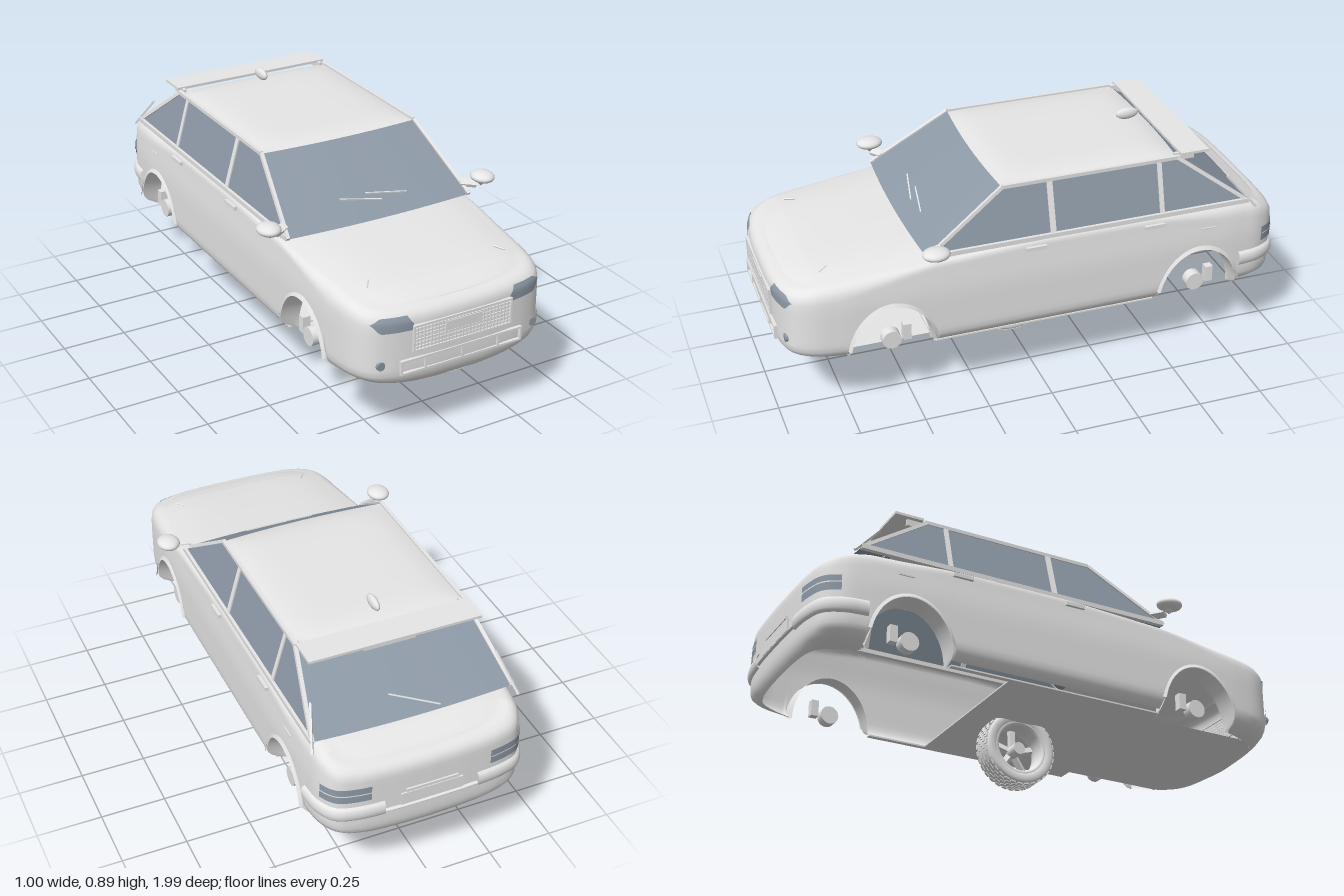
import * as THREE from 'three';
import { mergeGeometries, mergeVertices } from 'three/addons/utils/BufferGeometryUtils.js';

const V = (x, y, z) => new THREE.Vector3(x, y, z);
const { lerp, smoothstep, clamp } = THREE.MathUtils;

export function createModel() {
  const car = new THREE.Group();
  car.name = 'car';
  const paint = new THREE.MeshStandardMaterial({ color: 0xe6e6e6, side: THREE.DoubleSide });
  paint.name = 'light grey';
  const glass = new THREE.MeshStandardMaterial({ color: 0x8e9aa7, side: THREE.DoubleSide });
  glass.name = 'blue grey glass';

  const add = (name, geo, mat = paint, parent = car) => {
    const m = new THREE.Mesh(geo, mat);
    m.name = name;
    parent.add(m);
    return m;
  };
  const box = (name, w, h, d, x, y, z, mat, parent) => {
    const m = add(name, new THREE.BoxGeometry(w, h, d), mat, parent);
    m.position.set(x, y, z);
    return m;
  };
  const ball = (name, rx, ry, rz, x, y, z) => {
    const m = add(name, new THREE.SphereGeometry(1, 24, 16));
    m.scale.set(rx, ry, rz);
    m.position.set(x, y, z);
  };
  const bar = (name, a, b, w, d = w, mat = paint, parent = car) => {
    const m = add(name, new THREE.BoxGeometry(w, a.distanceTo(b), d), mat, parent);
    m.position.copy(a).lerp(b, 0.5);
    m.quaternion.setFromUnitVectors(V(0, 1, 0), b.clone().sub(a).normalize());
  };
  // Smooth surface from a rule f(u, v) -> Vector3
  const grid = (f, nu, nv) => {
    const pos = [], idx = [];
    for (let i = 0; i <= nu; i++) for (let j = 0; j <= nv; j++) pos.push(...f(i / nu, j / nv).toArray());
    for (let i = 0; i < nu; i++) for (let j = 0; j < nv; j++) {
      const a = i * (nv + 1) + j, b = a + nv + 1;
      idx.push(a, b, a + 1, b, b + 1, a + 1);
    }
    const g = new THREE.BufferGeometry();
    g.setAttribute('position', new THREE.Float32BufferAttribute(pos, 3));
    g.setIndex(idx);
    g.computeVertexNormals();
    return g;
  };

  // Half outline of the body in plan, nose to tail
  const plan = new THREE.CatmullRomCurve3([[0, 0.988], [0.15, 0.985], [0.28, 0.968], [0.345, 0.938], [0.383, 0.88],
    [0.402, 0.78], [0.41, 0.6], [0.412, 0.3], [0.412, 0], [0.412, -0.3], [0.41, -0.6], [0.402, -0.8], [0.388, -0.89],
    [0.35, -0.95], [0.28, -0.974], [0.15, -0.985], [0, -0.988]].map(([x, z]) => V(x, 0, z)));
  plan.arcLengthDivisions = 600;
  const L = plan.getLength();
  const arches = [0.585, -0.63];
  const rimPts = [[-1, 0.56], [-0.97, 0.575], [-0.9, 0.605], [-0.8, 0.62], [0, 0.625], [0.42, 0.605], [0.88, 0.565], [0.97, 0.55], [1, 0.545]];
  const rimY = (z) => {
    const i = clamp(rimPts.findIndex((p) => p[0] >= z), 1, rimPts.length - 1);
    const [a, b] = [rimPts[i - 1], rimPts[i]];
    return lerp(a[1], b[1], (z - a[0]) / (b[0] - a[0]));
  };
  const bottomY = (z) => {
    for (const c of arches) {
      const d = (z - c) / 0.165;
      if (Math.abs(d) < 1) return 0.25 + 0.21 * Math.sqrt(1 - d * d);
    }
    return z < 0.5 && z > -0.5 ? 0.265 : 0.25;
  };
  // Body surface point for a plan point at height y
  const skin = (p, y) => {
    const end = smoothstep(Math.abs(p.z), 0.7, 0.97);
    const r = lerp(0.016, 0.048, smoothstep(Math.abs(p.z), 0.4, 0.75));
    const h = clamp((rimY(p.z) - y) / r, 0, 1);
    const top = r * (1 - Math.sqrt(1 - (1 - h) ** 2));
    const low = Math.max(0, (0.33 - y) / 0.08) ** 3 * 0.1 * lerp(0.6, 1, end);
    const lean = 0.012 * smoothstep(y, 0.46, 0.63);
    return V(p.x - (top + low + lean) * p.x / 0.41, y, p.z - Math.sign(p.z) * end * (top + low * 0.25));
  };

  // Body shell: nose and tail are full hoops (side, deck, side), the middle has sides only
  const side = (p, t, s) => {
    const q = skin(p, lerp(bottomY(p.z), rimY(p.z), 0.5 - 0.5 * Math.cos(Math.PI * t)));
    return q.setX(q.x * s);
  };
  const hoop = (crown) => (p, v) => {
    const j = Math.round(v * 56);
    if (j <= 18) return side(p, j / 18, 1);
    if (j >= 38) return side(p, (56 - j) / 18, -1);
    const q = skin(p, rimY(p.z)), k = 1 - (j - 18) / 10;
    return V(q.x * k, q.y + crown * (1 - k ** 4) * Math.min(1, q.x / 0.36) ** 2, q.z);
  };
  const stretch = (f, u0, u1, nu, nv) => {
    const g = grid((u, v) => f(plan.getPointAt(lerp(u0, u1, u)), v), nu, nv);
    g.deleteAttribute('normal');
    return g;
  };
  const uHood = 0.91 / L, uDeck = 1 - 0.5 / L;
  const shell = mergeVertices(mergeGeometries([
    stretch(hoop(0.02), 0, uHood, 90, 56),
    stretch((p, v) => side(p, v, 1), uHood, uDeck, 130, 18),
    stretch((p, v) => side(p, 1 - v, -1), uHood, uDeck, 130, 18),
    stretch(hoop(0.008), uDeck, 1, 50, 56),
  ]), 1e-5);
  shell.computeVertexNormals();
  add('bodyShell', shell);

  // Underside: curved nose pan and flat floor
  add('nosePan', grid((u, v) => {
    const q = skin(plan.getPointAt(u * 0.95 / L), 0.25), k = 2 * v - 1;
    return V(Math.min(q.x, 0.31) * k, 0.25 - 0.005 * (1 - k * k), q.z);
  }, 50, 12));
  box('floor', 0.7, 0.006, 0.64, 0, 0.252, 0.1);

  // Cabin
  const sideX = (y) => 0.385 - 0.055 * (y - 0.63) / 0.195;
  const panel = (name, pts, mat) => {
    const g = new THREE.BufferGeometry().setFromPoints(pts);
    g.setIndex(pts.slice(2).flatMap((_, i) => [0, i + 1, i + 2]));
    g.computeVertexNormals();
    add(name, g, mat);
  };
  add('roof', grid((u, v) => {
    const k = 2 * v - 1, bow = 0.015 * (1 - k * k);
    return V(0.332 * k, 0.828 + 0.017 * (1 - k ** 6) * (1 - (2 * u - 1) ** 8), lerp(0.14 + bow, -0.55 - bow, u));
  }, 24, 20));
  const screen = (name, z0, z1, bow) => add(name, grid((u, v) => {
    const k = 2 * v - 1, y = lerp(0.625, 0.828, u);
    return V(sideX(y) * k, y, lerp(z0, z1, u) + bow * (1 - k * k));
  }, 4, 16), glass);
  screen('windshield', 0.445, 0.14, 0.015);
  screen('rearWindow', -0.83, -0.55, -0.015);
  for (const s of [1, -1]) {
    const at = (z, y, o = 0) => V(s * (sideX(y) + o), y, z);
    panel('frontSideWindow', [[0.42, 0.635], [-0.04, 0.635], [-0.04, 0.825], [0.15, 0.825]].map((p) => at(...p)), glass);
    panel('rearSideWindow', [[-0.04, 0.635], [-0.475, 0.635], [-0.475, 0.825], [-0.04, 0.825]].map((p) => at(...p)), glass);
    panel('quarterWindow', [[-0.475, 0.635], [-0.82, 0.635], [-0.55, 0.825], [-0.475, 0.825]].map((p) => at(...p)), glass);
    bar('windshieldPillar', at(0.445, 0.625), at(0.14, 0.83), 0.013);
    bar('middlePillar', at(-0.04, 0.625), at(-0.04, 0.83), 0.01, 0.022);
    bar('rearDoorPillar', at(-0.475, 0.625), at(-0.475, 0.83), 0.01, 0.018);
    bar('rearPillar', at(-0.83, 0.625), at(-0.55, 0.83), 0.014);
    bar('roofRail', at(0.14, 0.83), at(-0.56, 0.83), 0.014);
    bar('windowSill', at(0.44, 0.628), at(-0.83, 0.628), 0.018);
    bar('quarterDivider', at(-0.75, 0.73), at(-0.86, 0.6, 0.005), 0.008);

    // Door handles, sill, mirrors
    for (const z of [0.035, -0.435]) box('doorHandle', 0.012, 0.014, 0.08, s * 0.408, 0.597, z);
    box('sill', 0.02, 0.006, 0.88, s * 0.36, 0.252, -0.02);
    box('fillerMark', 0.004, 0.006, 0.06, s * 0.407, 0.545, -0.66);
    ball('mirror', 0.044, 0.022, 0.052, s * 0.455, 0.677, 0.43);
    bar('mirrorArm', V(s * 0.375, 0.658, 0.4), V(s * 0.43, 0.65, 0.425), 0.014, 0.03);
    const foot = add('mirrorFoot', new THREE.ConeGeometry(0.03, 0.03, 12));
    foot.rotation.x = Math.PI;
    foot.position.set(s * 0.45, 0.654, 0.43);

    // Wheel arch liners, lips and bare hubs
    for (const c of arches) {
      const arc = (a, k) => V(0, 0.25 + 0.21 * k * Math.sin(a), c + 0.165 * k * Math.cos(a));
      add('archLiner', grid((u, v) => {
        const q = arc(Math.PI * u, 1 - 0.05 * v);
        return q.setX(s * lerp(skin(V(0.412, 0, c), q.y).x, 0.335, v));
      }, 32, 3));
      add('archLip', grid((u, v) => arc(lerp(0.24, Math.PI - 0.24, u), 1 + 0.07 * v).setX(s * (0.41 + 0.009 * (1 - v))), 32, 3));
      const hub = add('hub', new THREE.CylinderGeometry(0.036, 0.036, 0.04, 24));
      hub.rotation.z = Math.PI / 2;
      hub.position.set(s * 0.365, 0.3, c);
      box('brakeCaliper', 0.03, 0.065, 0.03, s * 0.365, 0.32, c - 0.06);
    }
  }

  // Spoiler, roof pod and wipers
  box('spoiler', 0.665, 0.01, 0.115, 0, 0.84, -0.622);
  for (const s of [1, -1]) box('spoilerMount', 0.012, 0.03, 0.08, s * 0.31, 0.825, -0.585);
  box('highBrakeLight', 0.2, 0.014, 0.012, 0, 0.79, -0.622);
  ball('roofPod', 0.015, 0.023, 0.046, 0, 0.87, -0.485);
  const onScreen = (x, y) => V(x, y, 0.46 - 0.305 * (y - 0.625) / 0.203 + 0.004);
  bar('wiper', onScreen(-0.13, 0.69), onScreen(0.03, 0.668), 0.005);
  bar('wiper', onScreen(-0.02, 0.69), onScreen(0.14, 0.672), 0.005);
  bar('rearWiper', V(-0.1, 0.636, -0.834), V(0.07, 0.685, -0.766), 0.005);

  // Plates that follow the nose or tail; a and b are distances along the skin from the middle
  const plate = (name, end, a, b, lo, hi, mat, off = 0.003, bulge = 0) => add(name, grid((u, v) => {
    const d = lerp(a, b, u), f = end > 0 ? Math.abs(d) / L : 1 - Math.abs(d) / L;
    const p = plan.getPointAt(f), t = plan.getTangentAt(f);
    const y = lerp(lo(u), hi(u), v), q = skin(p, y);
    const o = off + bulge * Math.sqrt(Math.max(0, Math.sin(Math.PI * v)));
    return V((q.x - t.z * o) * (d < 0 ? -1 : 1), y, q.z + t.x * o);
  }, 24, bulge ? 10 : 5), mat);
  const flat = (y) => () => y;
  for (const s of [1, -1]) {
    plate('headlight', 1, s * 0.2, s * 0.36, (u) => 0.475 + 0.035 * smoothstep(u, 0.7, 1),
      (u) => u < 0.15 ? 0.5 + u * 0.18 : 0.53 - 0.02 * smoothstep(u, 0.75, 1), glass);
    plate('fogLampPanel', 1, s * 0.28, s * 0.365, flat(0.33), flat(0.38), paint, 0.006);
    const fog = add('fogLamp', new THREE.CylinderGeometry(0.016, 0.016, 0.012, 20), glass);
    fog.rotation.x = Math.PI / 2;
    fog.position.set(s * 0.315, 0.354, 0.962);
    plate('tailLight', -1, s * 0.23, s * 0.42, flat(0.435), flat(0.495), glass, 0.004);
    plate('tailLightBar', -1, s * 0.23, s * 0.42, flat(0.465), flat(0.47), paint, 0.006);
    plate('rearBumper', -1, s * 0.18, s * 0.52, flat(0.35), flat(0.41), paint, 0, 0.014);
    plate('lowerRearTrim', -1, 0, s * 0.18, flat(0.36), flat(0.372), paint, 0, 0.01);
    bar('hoodMark', V(s * 0.285, 0.583, 0.82), V(s * 0.26, 0.589, 0.785), 0.004);
  }
  box('numberPlate', 0.24, 0.05, 0.006, 0, 0.4, -0.99);
  box('trunkHandle', 0.2, 0.012, 0.012, 0, 0.435, -0.988);

  // Rectangular frame with an open middle
  const frame = (name, w, h, t, y, z) => {
    for (const k of [1, -1]) {
      box(name, w, t, 0.012, 0, y + k * (h - t) / 2, z);
      box(name, t, h, 0.012, k * (w - t) / 2, y, z);
    }
  };
  frame('grilleFrame', 0.405, 0.102, 0.006, 0.442, 0.988);
  for (let i = 1; i < 28; i++) box('grilleBar', 0.004, 0.094, 0.006, -0.2 + i * 0.4 / 28, 0.442, 0.989);
  for (let i = 1; i < 7; i++) box('grilleSlat', 0.395, 0.004, 0.006, 0, 0.393 + i * 0.014, 0.989);
  box('grillePanel', 0.15, 0.035, 0.006, 0, 0.458, 0.992);
  frame('lowerIntakeFrame', 0.5, 0.055, 0.007, 0.338, 0.986);
  for (const x of [-0.15, 0, 0.15]) box('intakeDivider', 0.007, 0.05, 0.01, x, 0.338, 0.987);

  // Single wheel under the middle, axle along x
  const wheel = new THREE.Group();
  wheel.name = 'wheel';
  wheel.position.y = 0.148;
  wheel.rotation.z = Math.PI / 2;
  car.add(wheel);
  const lathe = (name, pts) => add(name, new THREE.LatheGeometry(pts.map((p) => new THREE.Vector2(...p)), 64), paint, wheel);
  lathe('tire', [[0.104, -0.043], [0.115, -0.05], [0.132, -0.05], [0.14, -0.046], [0.144, -0.036], [0.145, 0],
    [0.144, 0.036], [0.14, 0.046], [0.132, 0.05], [0.115, 0.05], [0.104, 0.043]]);
  lathe('rim', [[0.106, -0.044], [0.096, -0.046], [0.092, -0.03], [0.088, 0], [0.092, 0.03], [0.096, 0.046], [0.106, 0.044]]);
  add('wheelHub', new THREE.CylinderGeometry(0.024, 0.024, 0.07, 24), paint, wheel);
  for (let i = 0; i < 5; i++) {
    const a = i * Math.PI * 0.4, dir = V(Math.cos(a), 0, Math.sin(a));
    bar('spoke', dir.clone().multiplyScalar(0.015).setY(-0.028), dir.clone().multiplyScalar(0.094).setY(-0.034), 0.022, 0.022, paint, wheel);
  }
  for (let row = 0; row < 5; row++) for (let i = 0; i < 32; i++) {
    const a = (i + (row % 2) / 2) * Math.PI / 16;
    const block = box('treadBlock', 0.006, 0.013, 0.02, 0.1445 * Math.cos(a), (row - 2) * 0.0175, 0.1445 * Math.sin(a), paint, wheel);
    block.rotation.y = -a;
  }
  return car;
}
